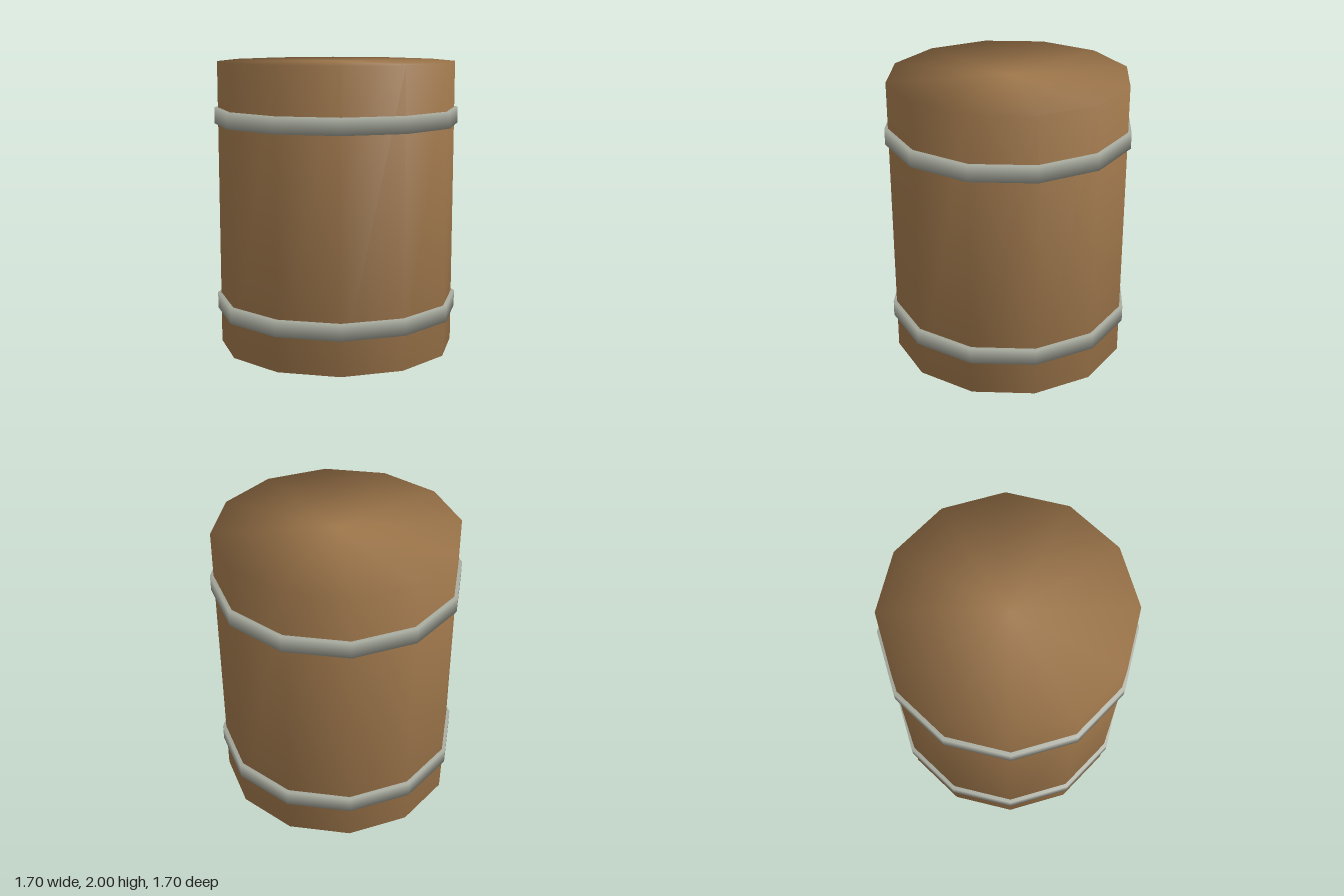
import * as THREE from 'three';
import { mergeVertices } from 'three/addons/utils/BufferGeometryUtils.js';

const SIDES = 12;

// Closed twelve-sided drum whose walls and caps share smooth normals
function smoothDrum(radius, height) {
  const geometry = new THREE.CylinderGeometry(radius, radius, height, SIDES);
  geometry.deleteAttribute('uv');
  geometry.deleteAttribute('normal');
  const merged = mergeVertices(geometry, 1e-4);
  merged.computeVertexNormals();
  return merged;
}

export function createModel() {
  const group = new THREE.Group();
  group.name = 'barrel';
  const wood = new THREE.MeshStandardMaterial({ color: 0xa0784c });
  const metal = new THREE.MeshStandardMaterial({ color: 0xa5a89c });

  const addDrum = (name, radius, height, y, material) => {
    const mesh = new THREE.Mesh(smoothDrum(radius, height), material);
    mesh.name = name;
    mesh.position.y = y;
    group.add(mesh);
  };

  // Wooden body
  addDrum('barrelBody', 0.825, 2, 1, wood);

  // Metal hoops
  addDrum('lowerHoop', 0.849, 0.112, 0.302, metal);
  addDrum('upperHoop', 0.849, 0.112, 1.626, metal);

  return group;
}
